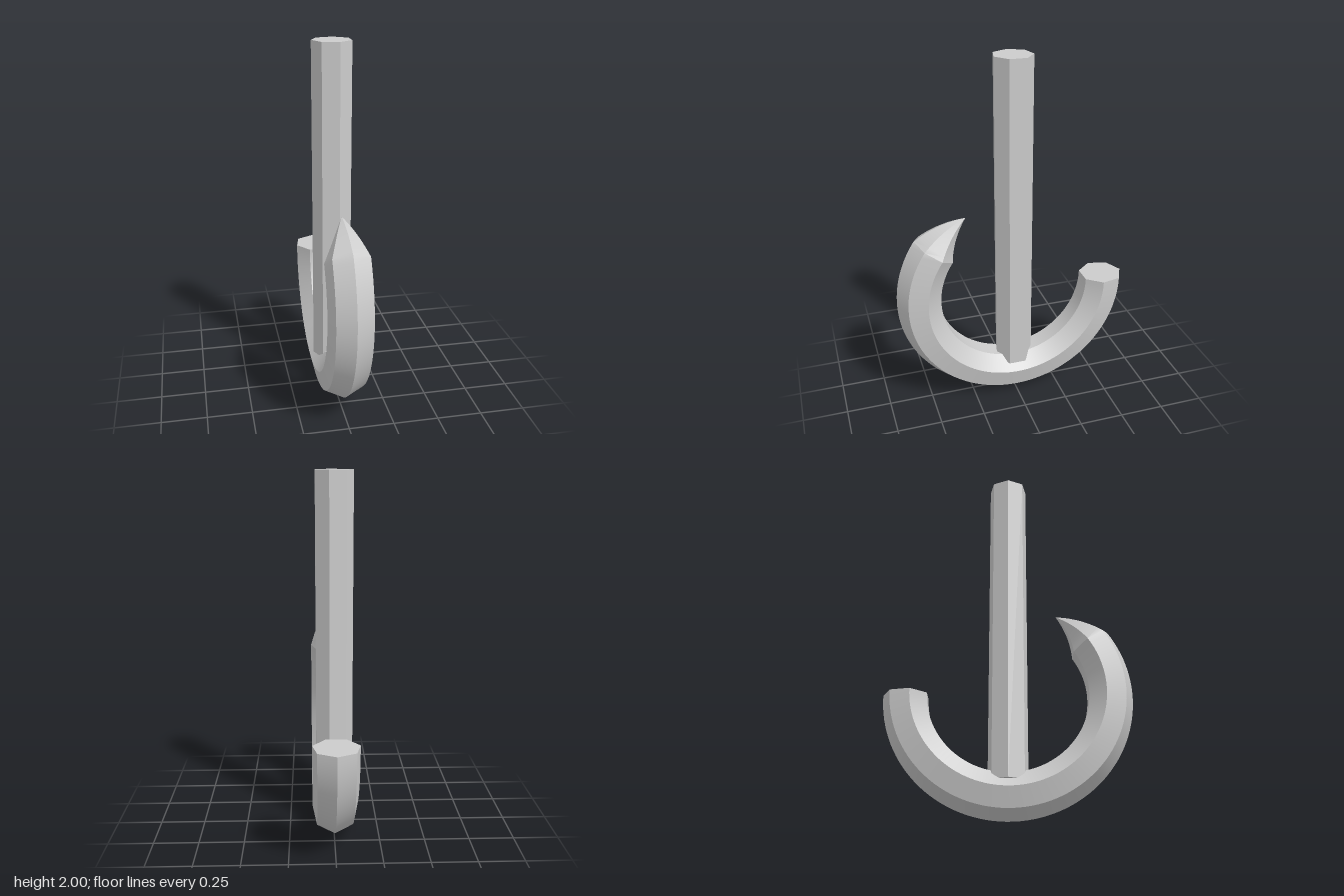
import * as THREE from 'three';
import { toCreasedNormals } from 'three/addons/utils/BufferGeometryUtils.js';

const SIDES = 7;
const BEND = 0.542;      // radius of the hook's centre line
const THICK = 0.125;     // radius of the bar's section
const CENTRE_Y = 0.667;

// Seven-sided bar swept along an arc in the y-z plane, tapering to a point
function hookGeometry() {
  const start = -Math.PI, taper = THREE.MathUtils.degToRad(34), end = THREE.MathUtils.degToRad(60.6);
  const barSteps = 72, tipSteps = 9;
  const pos = [], index = [];

  const addPoint = (a, r, t) => {
    const d = BEND + r * Math.cos(t);
    pos.push(r * Math.sin(t), CENTRE_Y + d * Math.sin(a), d * Math.cos(a));
  };
  const addRing = (a, r) => {
    for (let j = 0; j < SIDES; j++) addPoint(a, r, (j / SIDES) * Math.PI * 2);
  };

  for (let i = 0; i <= barSteps; i++) addRing(start + (taper - start) * i / barSteps, THICK);
  for (let i = 1; i < tipSteps; i++) {
    const f = i / tipSteps;
    addRing(taper + (end - taper) * f, THICK * (1 - f));
  }
  const rings = barSteps + tipSteps;
  const tip = rings * SIDES, cap = tip + 1;
  addPoint(end, 0, 0);
  addPoint(start, 0, 0);

  for (let j = 0; j < SIDES; j++) {
    const k = (j + 1) % SIDES;
    for (let i = 0; i < rings - 1; i++) {
      const a = i * SIDES, b = a + SIDES;
      index.push(a + j, a + k, b + k, a + j, b + k, b + j);
    }
    const last = (rings - 1) * SIDES;
    index.push(last + j, last + k, tip);   // point
    index.push(cap, k, j);                 // blunt end
  }

  const geo = new THREE.BufferGeometry();
  geo.setAttribute('position', new THREE.Float32BufferAttribute(pos, 3));
  geo.setIndex(index);
  return toCreasedNormals(geo, 0.4);
}

export function createModel() {
  const group = new THREE.Group();
  group.name = 'hook';

  // Curved hook with pointed front end
  const hook = new THREE.Mesh(hookGeometry(), new THREE.MeshStandardMaterial({ color: 0xcccccc }));
  hook.name = 'curvedHook';

  // Straight upright shaft, one corner towards -x
  const bottom = 0.2, top = 2;
  const shaft = new THREE.Mesh(
    new THREE.CylinderGeometry(0.108, 0.108, top - bottom, SIDES, 1, false, -Math.PI / 2),
    new THREE.MeshStandardMaterial({ color: 0xcccccc, flatShading: true })
  );
  shaft.position.y = (top + bottom) / 2;
  shaft.name = 'shaft';

  group.add(hook, shaft);
  return group;
}
